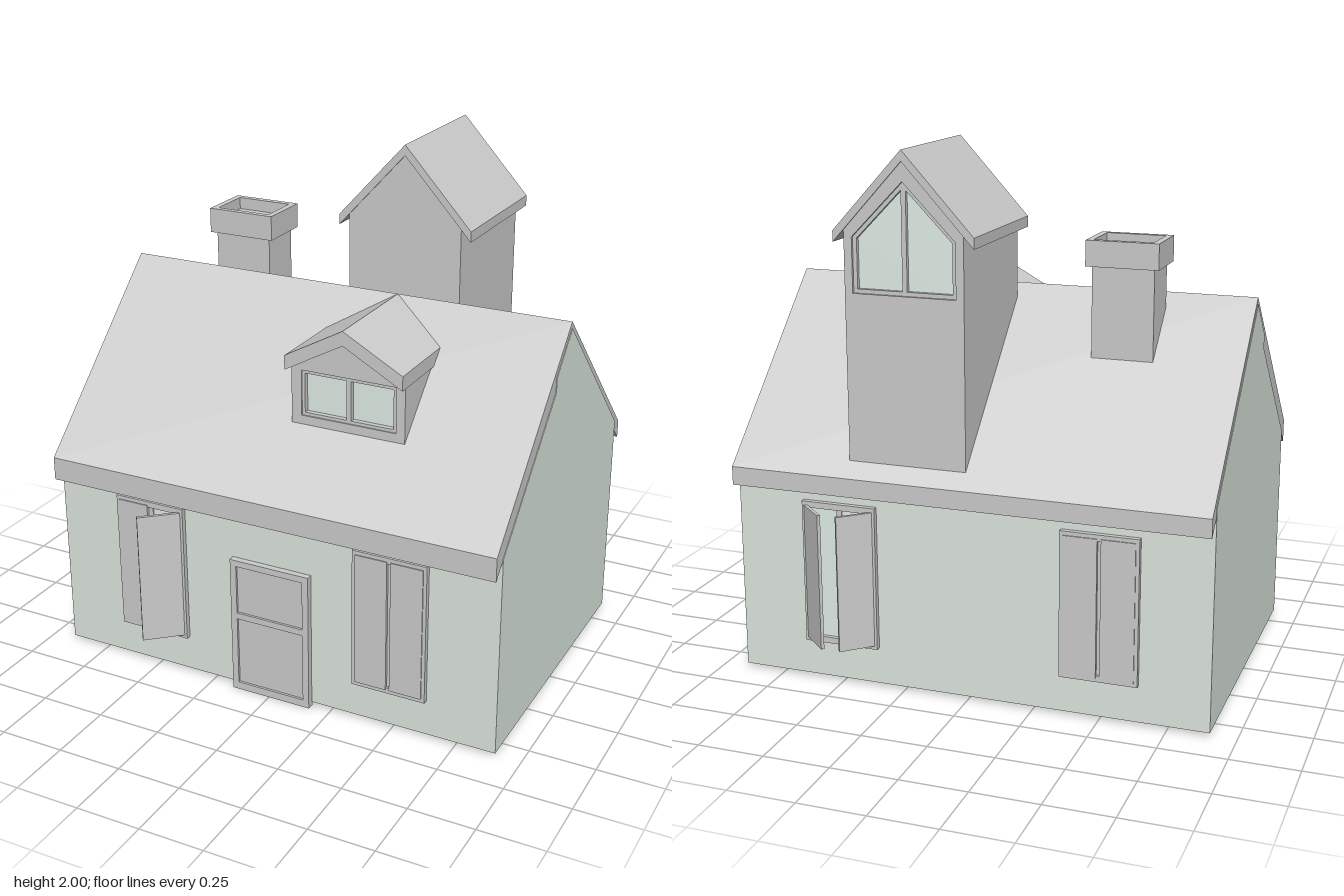
import * as THREE from 'three';

const grey = new THREE.MeshStandardMaterial({ color: 0xcccccc, flatShading: true });
const wallPaint = new THREE.MeshStandardMaterial({ color: 0xdce6de, flatShading: true });
const glass = new THREE.MeshStandardMaterial({ color: 0xe0eee6, flatShading: true });

function add(parent, name, geometry, material = grey) {
  const mesh = new THREE.Mesh(geometry, material);
  mesh.name = name;
  parent.add(mesh);
  return mesh;
}

function box(parent, name, x0, x1, y0, y1, z0, z1, material) {
  const g = new THREE.BoxGeometry(x1 - x0, y1 - y0, z1 - z0);
  g.translate((x0 + x1) / 2, (y0 + y1) / 2, (z0 + z1) / 2);
  return add(parent, name, g, material);
}

const vecs = pts => pts.map(([x, y]) => new THREE.Vector2(x, y));
const rect = (x0, x1, y0, y1) => [[x0, y0], [x1, y0], [x1, y1], [x0, y1]];

// Outline in x/y, with optional holes, extruded from z0 to z1
function slab(outline, z0, z1, holes = []) {
  const shape = new THREE.Shape(vecs(outline));
  for (const h of holes) shape.holes.push(new THREE.Path(vecs(h)));
  const g = new THREE.ExtrudeGeometry(shape, { depth: z1 - z0, bevelEnabled: false });
  return g.translate(0, 0, z0);
}

// Outline in z/y, extruded along x to both sides of the centre
function crossSlab(outline, halfWidth) {
  return slab(outline, -halfWidth, halfWidth).rotateY(-Math.PI / 2);
}

// Five-cornered gable wall
const gable = (x0, x1, base, eave, apex) =>
  [[x0, base], [x1, base], [x1, eave], [(x0 + x1) / 2, apex], [x0, eave]];

// Folded roof sheet: mid position, half span, ridge, eave and thickness
const sheet = (mid, half, ridge, eave, t) => [
  [mid + half, eave], [mid, ridge], [mid - half, eave],
  [mid - half, eave - t], [mid, ridge - t], [mid + half, eave - t]];

// Window with two hinged leaves; each leaf is [opening angle in degrees, width]
function shutteredWindow(name, leftLeaf, rightLeaf) {
  const win = new THREE.Group();
  win.name = name;
  add(win, 'windowFrame', slab(rect(-0.145, 0.145, 0.155, 0.705), -0.01, 0.02,
    [rect(-0.125, 0.125, 0.178, 0.682)]));
  box(win, 'windowPane', -0.13, 0.13, 0.17, 0.69, -0.01, 0.004, glass);
  box(win, 'windowMullion', -0.01, 0.01, 0.17, 0.69, -0.01, 0.009);
  [[-1, leftLeaf], [1, rightLeaf]].forEach(([side, [angle, width]]) => {
    const hinge = new THREE.Group();
    hinge.name = 'shutterHinge';
    hinge.position.set(side * 0.132, 0, 0.018);
    hinge.rotation.y = side * THREE.MathUtils.degToRad(angle);
    const x0 = side < 0 ? 0 : -width;
    box(hinge, 'shutter', x0, x0 + width, 0.17, 0.69, -0.006, 0.006);
    win.add(hinge);
  });
  return win;
}

export function createModel() {
  const house = new THREE.Group();
  house.name = 'house';

  // Walls and main roof
  add(house, 'walls', crossSlab([[-0.61, 0.015], [0.59, 0.015], [0.59, 0.79], [0.13, 1.23],
    [0.13, 1.285], [-0.01, 1.425], [-0.61, 0.84]], 0.905), wallPaint);
  add(house, 'mainRoof', crossSlab([[0.645, 0.82], [-0.01, 1.45], [-0.665, 0.82],
    [-0.665, 0.75], [-0.01, 1.37], [0.645, 0.73]], 0.903));

  // Door with two sunken panels
  const door = new THREE.Group();
  door.name = 'door';
  add(door, 'doorFrame', slab(rect(-0.155, 0.17, 0, 0.55), 0.585, 0.615,
    [rect(-0.13, 0.145, 0.33, 0.525), rect(-0.13, 0.145, 0.03, 0.305)]));
  box(door, 'doorPanels', -0.14, 0.155, 0.02, 0.54, 0.585, 0.606);
  house.add(door);

  // Shuttered windows, two in front and two behind
  const closed = [0, 0.125];
  const windows = [
    ['frontRightWindow', -0.503, 0.59, closed, [41, 0.16]],
    ['frontLeftWindow', 0.49, 0.59, closed, closed],
    ['backLeftWindow', 0.495, -0.61, [43, 0.135], [43, 0.135]],
    ['backRightWindow', -0.5, -0.61, closed, closed]];
  for (const [name, x, z, left, right] of windows) {
    const win = shutteredWindow(name, left, right);
    win.position.set(x, 0, z);
    if (z < 0) win.rotation.y = Math.PI;
    house.add(win);
  }

  // Front dormer
  const dormer = new THREE.Group();
  dormer.name = 'dormer';
  const opening = rect(0.04, 0.415, 1.085, 1.26);
  add(dormer, 'dormerWalls', slab(gable(0, 0.45, 1.04, 1.29, 1.41), 0, 0.405, [opening]));
  add(dormer, 'dormerWindowFrame', slab(opening, 0.37, 0.4,
    [rect(0.052, 0.218, 1.097, 1.248), rect(0.237, 0.403, 1.097, 1.248)]));
  box(dormer, 'dormerPane', 0.04, 0.415, 1.085, 1.26, 0.36, 0.38, glass);
  add(dormer, 'dormerRoof', slab(sheet(0.225, 0.232, 1.45, 1.322, 0.055), -0.005, 0.445));
  house.add(dormer);

  // Rear tower with a gabled window
  const tower = new THREE.Group();
  tower.name = 'tower';
  const arch = gable(0.03, 0.42, 1.49, 1.69, 1.89);
  add(tower, 'towerCore', slab(gable(0, 0.45, 0.85, 1.73, 1.975), -0.575, -0.06));
  add(tower, 'towerBackWall', slab(gable(0, 0.45, 0.85, 1.73, 1.975), -0.61, -0.575, [arch]));
  add(tower, 'towerWindowFrame', slab(arch, -0.6, -0.575, [
    [[0.045, 1.505], [0.216, 1.505], [0.216, 1.86], [0.045, 1.685]],
    [[0.234, 1.505], [0.405, 1.505], [0.405, 1.685], [0.234, 1.86]]]));
  add(tower, 'towerPane', slab(arch, -0.585, -0.57), glass);
  add(tower, 'towerRoof', slab(sheet(0.225, 0.265, 2, 1.71, 0.04), -0.615, -0.055));
  house.add(tower);

  // Chimney with a hollow cap
  const chimney = new THREE.Group();
  chimney.name = 'chimney';
  box(chimney, 'chimneyStack', -0.575, -0.345, 1.15, 1.62, -0.235, -0.06);
  const cap = slab(rect(-0.595, -0.325, 0.043, 0.255), 1.57, 1.665,
    [rect(-0.57, -0.35, 0.066, 0.23)]);
  add(chimney, 'chimneyCap', cap.rotateX(-Math.PI / 2));
  house.add(chimney);

  return house;
}
